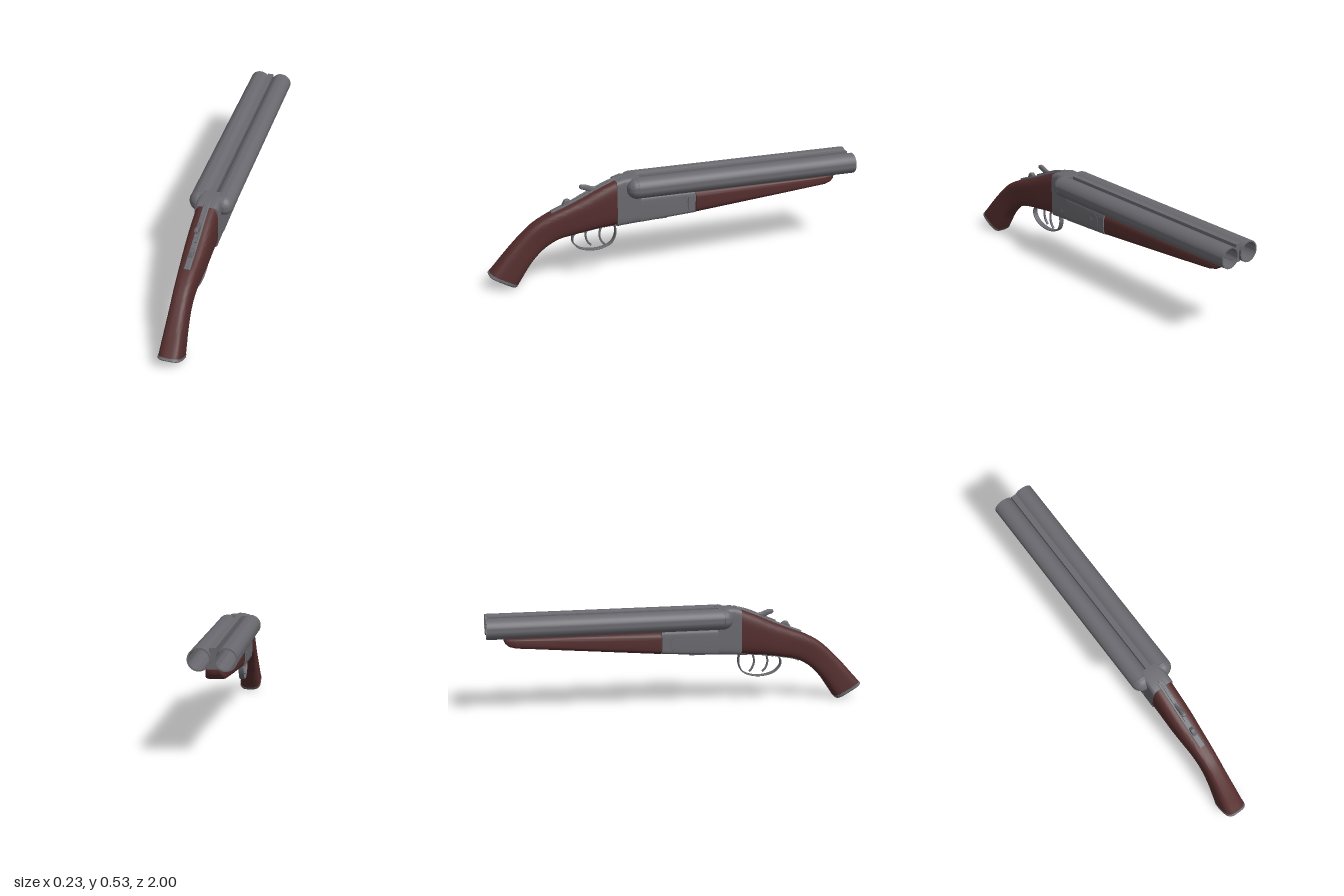
import * as THREE from 'three';
import { toCreasedNormals } from 'three/addons/utils/BufferGeometryUtils.js';

const metal = new THREE.MeshStandardMaterial({ color: 0x69696f });
metal.name = 'gunmetal';
const wood = new THREE.MeshStandardMaterial({ color: 0x542d2d });
wood.name = 'dark wood';

// Section: [topZ, topY, bottomZ, bottomY, halfWidth]
function loft(sections, power, segs = 40) {
  const pos = [], idx = [];
  const bend = v => Math.sign(v) * Math.abs(v) ** (2 / power);
  for (const [tz, ty, bz, by, hw] of sections) {
    for (let j = 0; j < segs; j++) {
      const a = ((j + 0.5) / segs) * Math.PI * 2;
      const k = (1 + bend(Math.sin(a))) / 2;
      pos.push(hw * bend(Math.cos(a)), by + (ty - by) * k, bz + (tz - bz) * k);
    }
  }
  const n = sections.length;
  for (let i = 0; i < n - 1; i++) {
    for (let j = 0; j < segs; j++) {
      const a = i * segs + j, b = i * segs + (j + 1) % segs;
      idx.push(a, b, b + segs, a, b + segs, a + segs);
    }
  }
  for (const end of [0, n - 1]) {
    const [tz, ty, bz, by] = sections[end], c = pos.length / 3;
    pos.push(0, (ty + by) / 2, (tz + bz) / 2);
    for (let j = 0; j < segs; j++) {
      const a = end * segs + j, b = end * segs + (j + 1) % segs;
      if (end) idx.push(c, a, b); else idx.push(c, b, a);
    }
  }
  const g = new THREE.BufferGeometry();
  g.setAttribute('position', new THREE.Float32BufferAttribute(pos, 3));
  g.setIndex(idx);
  return toCreasedNormals(g, 0.6);
}

// Refine a few sections into a smooth run
function smooth(sections, count) {
  const top = new THREE.CatmullRomCurve3(sections.map(s => new THREE.Vector3(s[4], s[1], s[0])));
  const bot = new THREE.CatmullRomCurve3(sections.map(s => new THREE.Vector3(s[4], s[3], s[2])));
  return Array.from({ length: count + 1 }, (_, i) => {
    const t = top.getPoint(i / count), b = bot.getPoint(i / count);
    return [t.z, t.y, b.z, b.y, t.x];
  });
}

// Flat strip following a (z, y) path
function strip(path, halfWidth, halfThick, count = 32, power = 6) {
  const curve = new THREE.CatmullRomCurve3(path.map(([z, y]) => new THREE.Vector3(0, y, z)));
  const sections = Array.from({ length: count + 1 }, (_, i) => {
    const p = curve.getPoint(i / count), t = curve.getTangent(i / count);
    const nz = -t.y * halfThick, ny = t.z * halfThick;
    return [p.z + nz, p.y + ny, p.z - nz, p.y - ny, halfWidth];
  });
  return loft(sections, power, 16);
}

export function createModel() {
  const model = new THREE.Group();
  const add = (name, geo, mat, x = 0, y = 0, z = 0) => {
    const m = new THREE.Mesh(geo, mat);
    m.name = name;
    m.position.set(x, y, z);
    model.add(m);
    return m;
  };
  const box = (name, w, h, d, x, y, z) => add(name, new THREE.BoxGeometry(w, h, d), metal, x, y, z);

  // Hollow barrels with rounded breech ends
  const profile = [[0, -0.3], [0.047, -0.3], [0.047, -1], [0.054, -1], [0.054, 0.222]];
  for (let i = 1; i <= 10; i++) {
    const a = (i / 10) * Math.PI / 2;
    profile.push([0.054 * Math.cos(a), 0.222 + 0.053 * Math.sin(a)]);
  }
  const barrel = new THREE.LatheGeometry(profile.map(([r, z]) => new THREE.Vector2(Math.max(r, 0), z)), 40);
  barrel.rotateX(Math.PI / 2);
  const barrelGeo = toCreasedNormals(barrel, 0.6);
  const seam = new THREE.TorusGeometry(0.0535, 0.0015, 6, 40);
  for (const s of [-1, 1]) {
    add('barrel', barrelGeo, metal, s * 0.061, 0.472, 0);
    add('breechSeam', seam, metal, s * 0.061, 0.472, 0.222);
  }

  // Sighting rib and the webs joining the barrels
  box('topRib', 0.03, 0.022, 1.22, 0, 0.513, -0.38);
  box('barrelWeb', 0.018, 0.07, 1.2, 0, 0.472, -0.388);
  box('lowerRib', 0.05, 0.02, 1.18, 0, 0.435, -0.39);

  // Receiver
  add('receiver', loft([
    [-0.1, 0.417, -0.1, 0.297, 0.0615],
    [0.2, 0.419, 0.2, 0.28, 0.0615],
    [0.2, 0.524, 0.2, 0.28, 0.0615],
    [0.285, 0.525, 0.285, 0.275, 0.0615],
    [0.325, 0.513, 0.325, 0.272, 0.0615],
  ], 8), metal);
  box('receiverFloor', 0.075, 0.004, 0.22, 0, 0.283, 0.16);
  box('extractor', 0.1, 0.012, 0.03, 0, 0.414, 0.14);

  // Pins and hinge plates on both sides
  const pin = (name, r, y, z) => {
    const g = new THREE.CylinderGeometry(r, r, 0.127, 20);
    g.rotateZ(Math.PI / 2);
    add(name, g, metal, 0, y, z);
  };
  pin('hingePin', 0.013, 0.352, 0.008);
  pin('searPin', 0.008, 0.326, 0.245);
  for (const s of [-1, 1]) {
    const arc = new THREE.TorusGeometry(0.05, 0.002, 5, 20, Math.PI * 0.7);
    arc.rotateZ(-Math.PI * 0.35);
    arc.rotateY(Math.PI / 2);
    add('hingeArc', arc, metal, s * 0.061, 0.352, -0.005);
    box('foreEndLatchPlate', 0.003, 0.07, 0.04, s * 0.0615, 0.355, -0.078);
  }

  // Wooden fore-end with a rounded tip
  add('foreEnd', loft([
    [-0.912, 0.412, -0.912, 0.402, 0.022],
    [-0.905, 0.412, -0.905, 0.385, 0.033],
    [-0.885, 0.412, -0.885, 0.368, 0.043],
    [-0.85, 0.412, -0.85, 0.359, 0.05],
    [-0.78, 0.413, -0.78, 0.354, 0.055],
    [-0.55, 0.413, -0.55, 0.334, 0.059],
    [-0.104, 0.413, -0.104, 0.295, 0.0615],
  ], 4.5), wood);
  add('foreEndInlay', strip([[-0.68, 0.345], [-0.58, 0.3365], [-0.48, 0.328]], 0.012, 0.004, 8), metal);

  // Curved pistol-grip stock
  const stock = [
    [0.325, 0.513, 0.325, 0.273, 0.0615],
    [0.41, 0.478, 0.41, 0.268, 0.0615],
    [0.5, 0.437, 0.49, 0.258, 0.06],
    [0.59, 0.4, 0.56, 0.246, 0.055],
    [0.68, 0.365, 0.62, 0.235, 0.05],
    [0.76, 0.322, 0.67, 0.213, 0.047],
    [0.83, 0.262, 0.72, 0.18, 0.047],
    [0.9, 0.19, 0.777, 0.122, 0.051],
    [0.955, 0.128, 0.825, 0.053, 0.056],
    [0.988, 0.092, 0.85, 0.016, 0.0585],
  ];
  const front = smooth(stock, 48);
  add('stock', loft(front, 3.6), wood);

  // Butt plate
  add('buttPlate', loft([
    [0.987, 0.093, 0.849, 0.017, 0.0605],
    [0.996, 0.084, 0.857, 0.007, 0.0605],
    [0.994, 0.078, 0.863, 0.003, 0.055],
  ], 3.6), metal);

  // Top tang, opening lever and safety
  add('tang', strip([[0.3, 0.522], [0.4, 0.483], [0.5, 0.439], [0.58, 0.407], [0.66, 0.376]], 0.016, 0.006), metal);
  add('tangRidge', strip([[0.29, 0.523], [0.36, 0.505], [0.43, 0.476], [0.52, 0.437]], 0.006, 0.007), metal);
  add('openingLever', loft(smooth([
    [0.415, 0.486, 0.415, 0.465, 0.006],
    [0.445, 0.49, 0.455, 0.462, 0.008],
    [0.48, 0.503, 0.485, 0.475, 0.01],
    [0.503, 0.502, 0.503, 0.482, 0.01],
    [0.508, 0.496, 0.508, 0.488, 0.007],
  ], 14), 3, 20), metal);
  add('safetyButton', loft([
    [0.555, 0.428, 0.555, 0.405, 0.009],
    [0.572, 0.438, 0.572, 0.4, 0.012],
    [0.588, 0.434, 0.588, 0.396, 0.012],
    [0.6, 0.412, 0.6, 0.39, 0.011],
  ], 4, 20), metal);

  // Trigger guard with its rear tang, and two triggers
  add('triggerGuard', strip([
    [0.326, 0.275], [0.322, 0.22], [0.345, 0.172], [0.4, 0.149], [0.46, 0.147],
    [0.52, 0.165], [0.551, 0.2], [0.55, 0.232], [0.53, 0.252],
  ], 0.014, 0.0035, 48), metal);
  add('guardTang', strip([[0.5, 0.256], [0.56, 0.245], [0.62, 0.234], [0.655, 0.221]], 0.012, 0.005, 12), metal);
  add('triggerPlate', strip([[0.326, 0.272], [0.42, 0.267], [0.51, 0.254]], 0.02, 0.006, 10), metal);
  for (const [z, x] of [[0.4, 0.007], [0.47, -0.007]]) {
    const g = strip([[z - 0.005, 0.275], [z + 0.008, 0.24], [z + 0.008, 0.21], [z - 0.004, 0.182], [z - 0.018, 0.168]],
      0.006, 0.005, 16, 3);
    add('trigger', g, metal, x, 0, 0);
  }
  return model;
}
